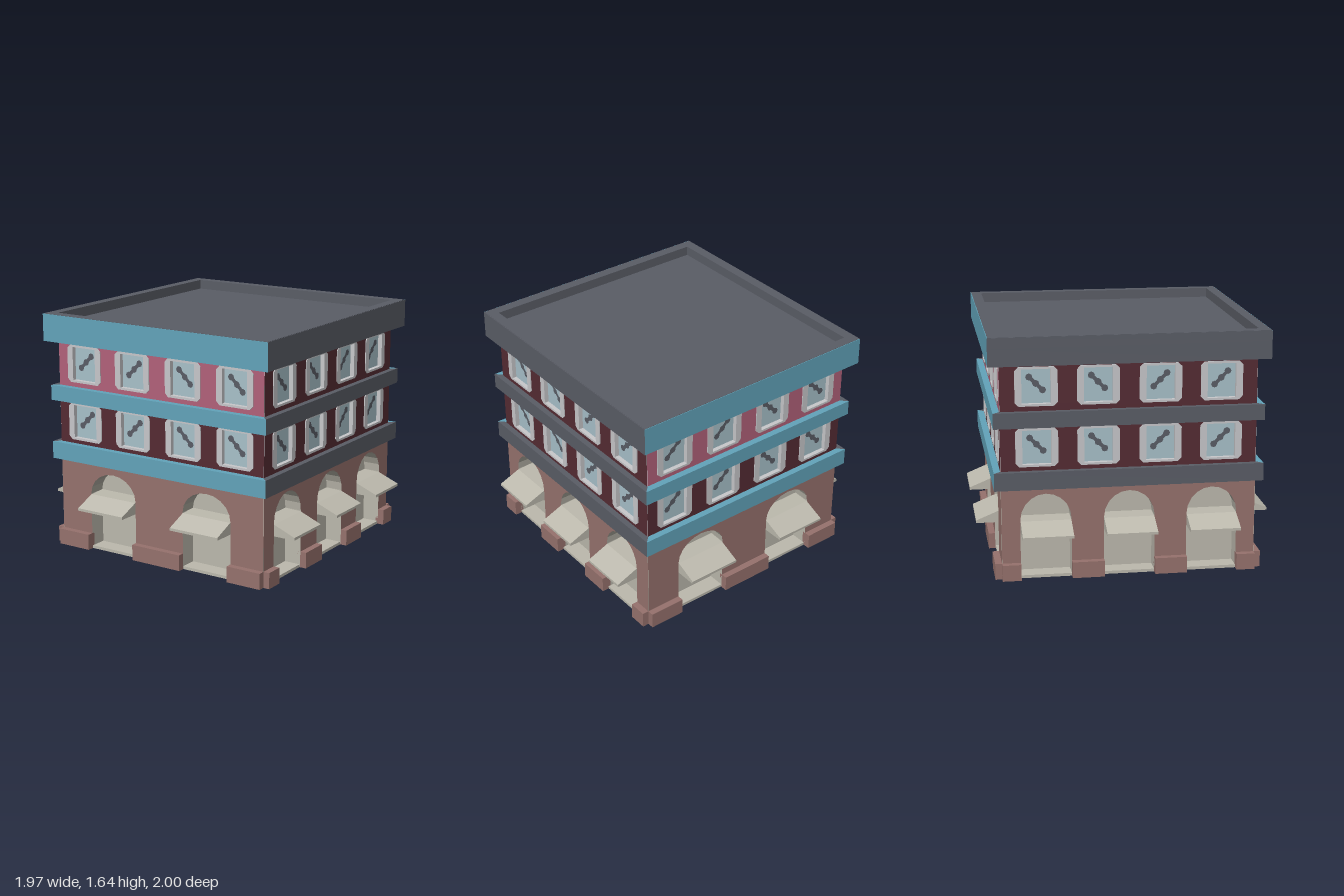
import * as THREE from 'three';

const mat = (name, color) => {
  const m = new THREE.MeshStandardMaterial({ color });
  m.name = name;
  return m;
};

export function createModel() {
  const brown = mat('brownStone', 0x96726d);
  const maroon = mat('maroonBrick', 0x552b33);
  const pink = mat('pinkBrick', 0xb2617a);
  const blue = mat('blueTrim', 0x62a4ba);
  const slate = mat('slate', 0x5a5d66);
  const beige = mat('beigePlaster', 0xbcb9ad);
  const white = mat('paleFrame', 0xc8c8cb);
  const glass = mat('glass', 0xa8c1ca);

  const model = new THREE.Group();
  model.name = 'building';
  const W = 0.83, D = 0.85; // half width and half depth of the walls

  const add = (parent, name, geo, material, x = 0, y = 0, z = 0) => {
    const m = new THREE.Mesh(geo, material);
    m.name = name;
    m.position.set(x, y, z);
    parent.add(m);
    return m;
  };
  const box = (parent, name, w, h, d, material, x, y, z) =>
    add(parent, name, new THREE.BoxGeometry(w, h, d), material, x, y, z);
  const shapeOf = (pts) => new THREE.Shape(pts.map(([x, y]) => new THREE.Vector2(x, y)));
  const extrude = (shape, depth) =>
    new THREE.ExtrudeGeometry(shape, { depth, bevelEnabled: false, curveSegments: 6 });
  const rect = (x, y, hw, hh) => [[x - hw, y - hh], [x + hw, y - hh], [x + hw, y + hh], [x - hw, y + hh]];

  // Four mitred bars around the building; front/back and sides can differ in colour
  const ring = (name, w, d, t, y0, y1, matZ, matX) => {
    for (let k = 0; k < 4; k++) {
      const [hw, out] = k % 2 ? [d, w] : [w, d];
      const geo = extrude(shapeOf([[-hw, -out], [hw, -out], [hw - t, t - out], [t - hw, t - out]]), y1 - y0);
      geo.rotateX(-Math.PI / 2);
      add(model, name, geo, k % 2 ? matX : matZ, 0, y0, 0).rotation.y = k * Math.PI / 2;
    }
  };

  // Cores and floor slab with a dark underside
  const dark = (m) => [m, m, m, maroon, m, m];
  box(model, 'floorSlab', 2 * W - 0.008, 0.02, 2 * D - 0.008, dark(beige), 0, 0.01, 0);
  box(model, 'shopCore', 1.42, 0.6, 1.46, beige, 0, 0.32, 0);
  box(model, 'upperCore', 2 * W - 0.06, 0.85, 2 * D - 0.06, maroon, 0, 1.03, 0);

  // Ground floor of one face: arched wall, awnings and plinth blocks
  const groundFloor = (face, hw, out, arches, r, top, reach) => {
    const y0 = 0.005, spring = 0.4, pts = [[-hw + 0.002, y0]];
    for (const c of arches) {
      pts.push([c - r, y0]);
      for (let i = 0; i <= 10; i++) {
        const a = Math.PI * (1 - i / 10);
        pts.push([c + r * Math.cos(a), spring + (top - spring) * Math.sin(a)]);
      }
      pts.push([c + r, y0]);
    }
    pts.push([hw - 0.002, y0], [hw - 0.002, 0.63], [0.002 - hw, 0.63]);
    add(face, 'archedWall', extrude(shapeOf(pts), 0.12), [brown, beige], 0, 0, out - 0.12);

    for (const c of arches) {
      const profile = shapeOf([[0.12, 0.315], [-reach, 0.315], [-reach, 0.333], [0, 0.395], [0.12, 0.4]]);
      const geo = extrude(profile, 2 * r - 0.004);
      geo.rotateY(Math.PI / 2);
      add(face, 'awning', geo, beige, c - r + 0.002, 0, out);
    }

    const edges = [-hw, ...arches.flatMap((c) => [c - r, c + r]), hw];
    for (let i = 0; i < edges.length; i += 2) {
      const a = edges[i], b = edges[i + 1];
      box(face, 'plinth', b - a, 0.11, 0.065, dark(brown), (a + b) / 2, 0.055, out + 0.0125);
    }
  };

  // Upper storey of one face: wall with recessed windows, frames and glints
  const storey = (face, hw, out, y0, y1, yc, wall, lean) => {
    const centres = [-0.61, -0.205, 0.205, 0.61];
    const shape = shapeOf([[0.002 - hw, y0], [hw - 0.002, y0], [hw - 0.002, y1], [0.002 - hw, y1]]);
    shape.holes = centres.map((x) => shapeOf(rect(x, yc, 0.095, 0.115)));
    add(face, 'storeyWall', extrude(shape, 0.03), [wall, white], 0, 0, out - 0.03);

    centres.forEach((x, i) => {
      const w = 0.14, h = 0.13, c = 0.025;
      const frame = shapeOf([[c - w, -h], [w - c, -h], [w, c - h], [w, h - c],
        [w - c, h], [c - w, h], [-w, h - c], [-w, c - h]]);
      frame.holes = [shapeOf(rect(0, 0, 0.095, 0.115))];
      add(face, 'windowFrame', extrude(frame, 0.006), white, x, yc, out);
      box(face, 'windowPane', 0.19, 0.23, 0.006, glass, x, yc, out - 0.027);

      const glint = new THREE.Group();
      glint.name = 'windowGlint';
      glint.position.set(x, yc + 0.015, out - 0.022);
      glint.rotation.z = (i < 2 ? lean : -lean) * Math.PI / 4;
      add(glint, 'glintBar', new THREE.PlaneGeometry(0.13, 0.024), slate);
      for (const s of [-1, 0, 1]) {
        add(glint, 'glintDot', new THREE.CircleGeometry(0.023, 8), slate, s * 0.062, 0, 0.001);
      }
      face.add(glint);
    });
  };

  for (let k = 0; k < 4; k++) {
    const side = k % 2 === 1;
    const [hw, out] = side ? [D, W] : [W, D];
    const face = new THREE.Group();
    face.name = ['frontFace', 'leftFace', 'backFace', 'rightFace'][k];
    face.rotation.y = k * Math.PI / 2;
    model.add(face);
    if (side) groundFloor(face, hw, out, [-0.555, 0, 0.555], 0.17, 0.58, 0.155);
    else groundFloor(face, hw, out, [-0.385, 0.385], 0.19, 0.56, 0.15);
    const lean = side ? -1 : 1;
    storey(face, hw, out, 0.73, 1.04, 0.897, maroon, lean);
    storey(face, hw, out, 1.13, 1.46, 1.302, side ? maroon : pink, lean);
  }

  // Ledges between the storeys
  ring('lowerLedge', 0.87, 0.895, 0.12, 0.62, 0.74, blue, slate);
  ring('upperLedge', 0.87, 0.895, 0.12, 1.035, 1.14, blue, slate);

  // Cornice, parapet and sunken roof
  ring('cornice', 0.9, 0.925, 0.15, 1.45, 1.57, blue, slate);
  ring('parapetFacing', 0.9, 0.925, 0.006, 1.57, 1.638, blue, slate);
  ring('parapet', 0.896, 0.921, 0.071, 1.57, 1.64, slate, slate);
  box(model, 'roof', 1.7, 0.08, 1.74, slate, 0, 1.533, 0);
  return model;
}
